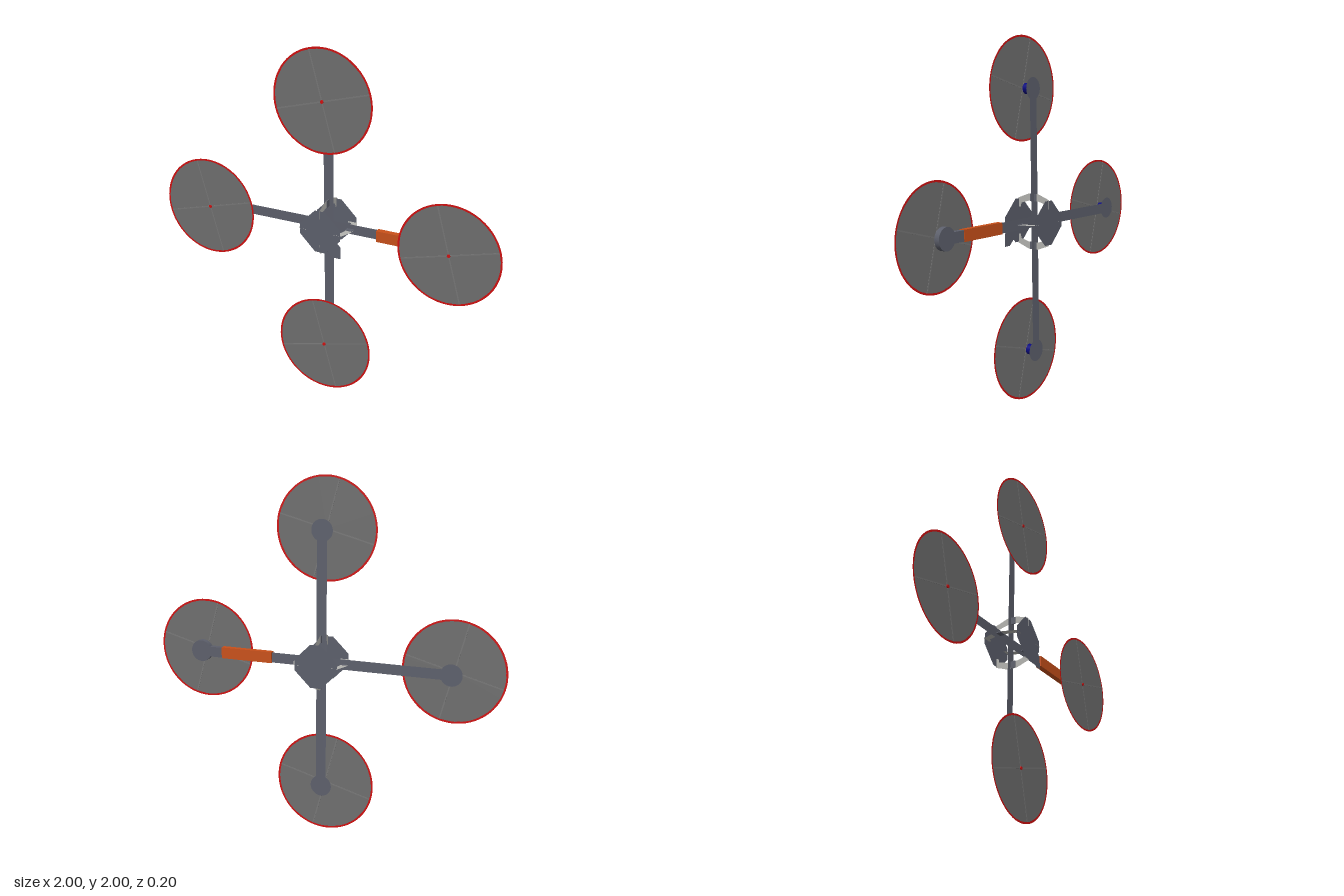
import * as THREE from 'three';

const DS = THREE.DoubleSide;
const mat = (color, side = THREE.FrontSide) => new THREE.MeshStandardMaterial({ color, side });
const slate = mat(0x5c5f6b, DS), orange = mat(0xc8501a), blue = mat(0x0a0a80);
const discGrey = mat(0x6e6e6e, DS), bladeGrey = mat(0x777777), red = mat(0xd01010, DS);
const black = mat(0x202020), light = mat(0xb4b4b0, DS);

const REACH = 0.715, ROTOR = 0.283, ARM = 0.0285, HUB = 0.06;

function add(parent, name, geometry, material, x = 0, y = 0, z = 0) {
  const mesh = new THREE.Mesh(geometry, material);
  mesh.name = name;
  mesh.position.set(x, y, z);
  parent.add(mesh);
  return mesh;
}

const polygon = (points) => new THREE.Shape(points.map(([x, y]) => new THREE.Vector2(x, y)));

// Arm outline from x = a out to the round motor pad
function armShape(a) {
  const t = Math.asin(ARM / HUB);
  const s = new THREE.Shape();
  s.moveTo(a, -ARM);
  s.lineTo(REACH - HUB * Math.cos(t), -ARM);
  s.absarc(REACH, 0, HUB, Math.PI + t, 3 * Math.PI - t, false);
  s.lineTo(a, ARM);
  s.closePath();
  return s;
}

// Motor, shaft, swept disc, blades and red rim
function makeRotor() {
  const g = new THREE.Group();
  g.name = 'rotor';
  const motor = new THREE.CylinderGeometry(0.029, 0.029, 0.048, 24).rotateX(Math.PI / 2);
  add(g, 'motor', motor, blue, 0, 0, 0.017);
  const shaft = new THREE.CylinderGeometry(0.005, 0.005, 0.03, 10).rotateX(Math.PI / 2);
  add(g, 'shaft', shaft, black, 0, 0, 0.05);
  add(g, 'sweptDisc', new THREE.CircleGeometry(ROTOR - 0.01, 72), discGrey, 0, 0, 0.061);
  add(g, 'rim', new THREE.RingGeometry(ROTOR - 0.011, ROTOR, 72), red, 0, 0, 0.061);
  for (let i = 0; i < 2; i++) {
    const blade = add(g, 'blade', new THREE.BoxGeometry(2 * ROTOR - 0.02, 0.007, 0.003), bladeGrey, 0, 0, 0.061);
    blade.rotation.z = Math.PI / 12 + i * Math.PI / 2;
  }
  const cap = new THREE.CylinderGeometry(0.009, 0.009, 0.006, 12).rotateX(Math.PI / 2);
  add(g, 'hubCap', cap, red, 0, 0, 0.064);
  return g;
}

// Thin guard bracket at one corner of the body (u outward, v along z)
function bracketGeometry() {
  const half = [[0.152, 0.03], [0.125, 0.102], [0.075, 0.102], [0.075, 0.086], [0.098, 0.082], [0.112, 0.03]];
  const mirrored = half.map(([u, v]) => [u, -v]).reverse();
  return new THREE.ShapeGeometry(polygon([...half, ...mirrored])).rotateX(Math.PI / 2);
}

export function createModel() {
  const model = new THREE.Group();
  model.name = 'quadcopter';
  const body = new THREE.Group();
  body.name = 'body';
  body.position.y = 1.003;
  model.add(body);

  // Arms and rotors lean very slightly
  const frame = new THREE.Group();
  frame.name = 'frame';
  frame.rotation.x = 0.015;
  body.add(frame);

  for (let i = 0; i < 4; i++) {
    const angle = i * Math.PI / 2;
    const arm = new THREE.Group();
    arm.name = 'arm';
    arm.rotation.z = angle;
    frame.add(arm);
    if (i === 0) {
      // Marked arm: flat root, solid orange sleeve and solid end
      add(arm, 'armRoot', new THREE.PlaneGeometry(0.3, 2 * ARM), slate, 0.15, 0, -0.008);
      add(arm, 'orangeSleeve', new THREE.BoxGeometry(0.3, 0.062, 0.032), orange, 0.44, 0, 0);
      const end = new THREE.ExtrudeGeometry(armShape(0.58), { depth: 0.03, bevelEnabled: false, curveSegments: 24 });
      add(arm, 'armEnd', end, slate, 0, 0, -0.015);
    } else {
      add(arm, 'armPlate', new THREE.ShapeGeometry(armShape(0), 24), slate, 0, 0, -0.008);
    }
    const rotor = makeRotor();
    rotor.position.set(REACH * Math.cos(angle), REACH * Math.sin(angle), 0);
    frame.add(rotor);

    // Guard bracket with its arm clamp
    const corner = new THREE.Group();
    corner.name = 'cornerGuard';
    corner.rotation.z = angle;
    body.add(corner);
    add(corner, 'guardBracket', bracketGeometry(), light);
    add(corner, 'armClamp', new THREE.BoxGeometry(0.04, 0.006, 0.04), slate, 0.131, 0, 0);
  }

  // Front and back body plates: squares on their corners, points clipped
  const a = 0.12, b = 0.03;
  const outline = [[a, -b], [a, b], [b, a], [-b, a], [-a, b], [-a, -b], [-b, -a], [b, -a]];
  for (const z of [-0.1, 0.1]) {
    add(body, z > 0 ? 'frontPlate' : 'backPlate', new THREE.ShapeGeometry(polygon(outline)), slate, 0, 0, z);
  }

  // Nose tongue pointing down to one side
  const tongue = polygon([[0, -0.06], [0.08, -0.133], [0.123, -0.133], [0.123, -0.065], [0.06, 0]]);
  add(body, 'noseTongue', new THREE.ShapeGeometry(tongue), slate, 0, 0, 0.101);
  return model;
}
